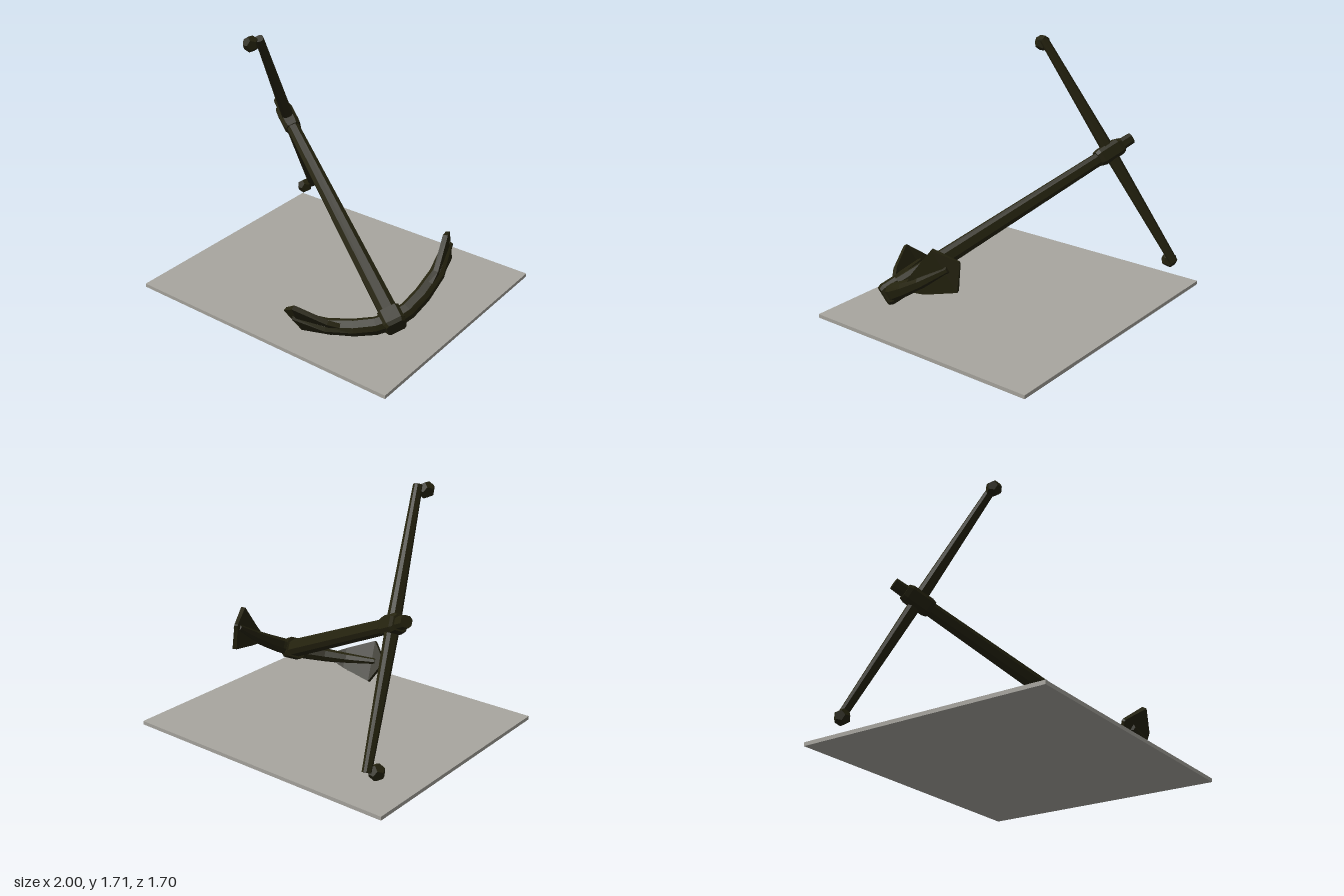
import * as THREE from 'three';

const V = (x, y, z) => new THREE.Vector3(x, y, z);

// Faceted bar through sections [position, half thickness, half width].
// 'wide' is the width direction; chamfer 1 = square corners, smaller = cut corners.
function loft(sections, wide, chamfer) {
  const c = chamfer;
  const outline = c === 1
    ? [[1, -1], [1, 1], [-1, 1], [-1, -1]]
    : [[1, -c], [1, c], [c, 1], [-c, 1], [-1, c], [-1, -c], [-c, -1], [c, -1]];
  const last = sections.length - 1;
  const rings = sections.map(([p, ht, hw], i) => {
    const along = sections[Math.min(i + 1, last)][0].clone()
      .sub(sections[Math.max(i - 1, 0)][0]).normalize();
    const thick = wide.clone().cross(along).normalize();
    return outline.map(([t, w]) =>
      p.clone().addScaledVector(thick, t * ht).addScaledVector(wide, w * hw));
  });
  const pos = [];
  const tri = (...pts) => pts.forEach((p) => pos.push(p.x, p.y, p.z));
  const n = outline.length;
  for (let i = 0; i < last; i++) {
    for (let j = 0; j < n; j++) {
      const k = (j + 1) % n;
      const a = rings[i][j], b = rings[i][k], d = rings[i + 1][j], e = rings[i + 1][k];
      tri(a, b, e);
      tri(a, e, d);
    }
  }
  for (let j = 1; j < n - 1; j++) {
    tri(rings[0][0], rings[0][j + 1], rings[0][j]);
    tri(rings[last][0], rings[last][j], rings[last][j + 1]);
  }
  const g = new THREE.BufferGeometry();
  g.setAttribute('position', new THREE.Float32BufferAttribute(pos, 3));
  g.computeVertexNormals();
  return g;
}

export function createModel() {
  const iron = new THREE.MeshStandardMaterial({ color: 0x25230f });
  iron.name = 'darkIron';
  const stone = new THREE.MeshStandardMaterial({ color: 0xa8a69f });
  stone.name = 'paleStone';

  const model = new THREE.Group();
  model.name = 'anchorOnBase';
  const anchor = new THREE.Group();
  anchor.name = 'anchor';
  const add = (parent, name, geometry, material) => {
    const m = new THREE.Mesh(geometry, material);
    m.name = name;
    parent.add(m);
    return m;
  };

  // Base slab
  add(model, 'base', new THREE.BoxGeometry(2, 0.025, 1.7), stone).position.y = 0.0125;

  // Anchor is built upright: crown at the origin, shank up y, arms along x, stock along z
  const Z = V(0, 0, 1);
  const stockY = 1.775;
  add(anchor, 'shank', loft([
    [V(0, 0, 0), 0.06, 0.06],
    [V(0, 1.72, 0), 0.043, 0.043],
    [V(0, 1.96, 0), 0.036, 0.036],
  ], Z, 0.5), iron);
  add(anchor, 'collar', loft([
    [V(0, stockY - 0.1, 0), 0.05, 0.05],
    [V(0, stockY - 0.07, 0), 0.058, 0.058],
    [V(0, stockY + 0.07, 0), 0.058, 0.058],
    [V(0, stockY + 0.1, 0), 0.048, 0.048],
  ], Z, 0.6), iron);
  add(anchor, 'crown', loft([
    [V(0, -0.035, 0), 0.062, 0.062],
    [V(0, -0.01, 0), 0.072, 0.072],
    [V(0, 0.085, 0), 0.072, 0.072],
  ], Z, 0.7), iron);

  // Stock bar with a ball beside each end
  add(anchor, 'stock', loft([
    [V(0, stockY, -0.885), 0.027, 0.027],
    [V(0, stockY, 0), 0.04, 0.04],
    [V(0, stockY, 0.885), 0.027, 0.027],
  ], V(1, 0, 0), 0.5), iron);
  for (const s of [-1, 1]) {
    const ball = add(anchor, 'stockBall', new THREE.DodecahedronGeometry(0.055), iron);
    ball.position.set(0.062, stockY, s * 0.87);
  }

  // Curved arms, each passing through a pointed fluke plate
  const armPath = [
    [0, 0.02, 0.05, 0.055], [0.11, 0.037, 0.05, 0.052], [0.235, 0.09, 0.05, 0.045],
    [0.38, 0.178, 0.047, 0.036], [0.54, 0.34, 0.03, 0.02],
  ];
  const flukePath = [
    [0.3, 0.115, 0.015, 0.035], [0.37, 0.16, 0.016, 0.075],
    [0.523, 0.317, 0.016, 0.152], [0.573, 0.411, 0.012, 0.006],
  ];
  for (const s of [-1, 1]) {
    const side = (path) => path.map(([x, y, t, w]) => [V(s * x, y, 0), t, w]);
    add(anchor, 'arm', loft(side(armPath), Z, 0.5), iron);
    add(anchor, 'fluke', loft(side(flukePath), Z, 1), iron);
  }

  // Lean the anchor so it rests on its lower arm and stock end
  const up = V(-0.81, 0.417, -0.412).normalize();
  const stockDir = V(-0.169, -0.845, -0.507);
  const armDir = up.clone().cross(stockDir).normalize();
  const depth = armDir.clone().cross(up);
  anchor.quaternion.setFromRotationMatrix(new THREE.Matrix4().makeBasis(armDir, up, depth));
  anchor.position.set(0.77, 0.21, 0.43);
  model.add(anchor);
  return model;
}
